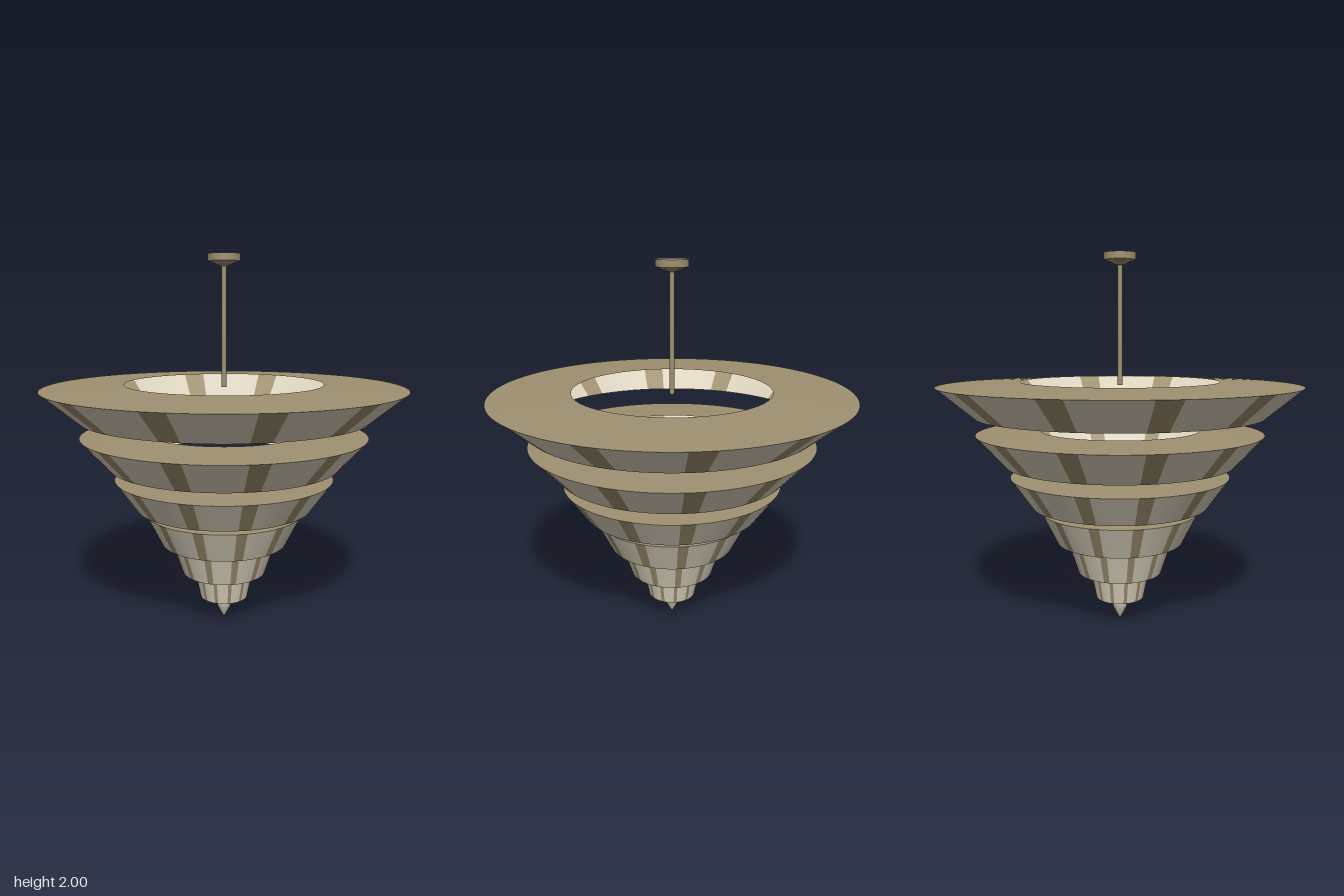
import * as THREE from 'three';
import { mergeGeometries } from 'three/addons/utils/BufferGeometryUtils.js';

const bronze = new THREE.MeshStandardMaterial({ color: 0x9f9070, side: THREE.DoubleSide });
bronze.name = 'bronze';
const glass = new THREE.MeshStandardMaterial({ color: 0xd9d1bc, side: THREE.DoubleSide });
glass.name = 'frosted glass';

// Tiers: top radius, top y, bottom radius, bottom y, cap hole radius, cap hole y
const TIERS = [
  [0.965, 1.31, 0.775, 1.15, 0.53, 1.33],
  [0.77, 1.055, 0.62, 0.89, 0.43, 1.07],
  [0.593, 0.82, 0.48, 0.66, 0.33, 0.835],
  [0.43, 0.625, 0.345, 0.455, 0.24, 0.64],
  [0.285, 0.445, 0.23, 0.28, 0.16, 0.455],
  [0.163, 0.285, 0.132, 0.13, 0.09, 0.292],
];
const PANELS = 12;
const STEP = (Math.PI * 2) / PANELS;
const RIB = STEP / 4;

function add(parent, name, geometry, material) {
  const mesh = new THREE.Mesh(geometry, material);
  mesh.name = name;
  parent.add(mesh);
  return mesh;
}

// The same arc of a conical wall, repeated around the axis
function wallArcs([rTop, yTop, rBottom, yBottom], offset, angle, segments) {
  const arcs = [];
  for (let i = 0; i < PANELS; i++) {
    const arc = new THREE.CylinderGeometry(
      rTop, rBottom, yTop - yBottom, segments, 1, true, i * STEP + offset, angle);
    arcs.push(arc.translate(0, (yTop + yBottom) / 2, 0));
  }
  return mergeGeometries(arcs);
}

const lathe = (points, segments) =>
  new THREE.LatheGeometry(points.map(([r, y]) => new THREE.Vector2(r, y)), segments);

function createTier(tier, index) {
  const group = new THREE.Group();
  group.name = `tier${index + 1}`;
  const [rTop, yTop, , , rHole, yHole] = tier;
  add(group, 'ribs', wallArcs(tier, 0, RIB, 2), bronze);
  add(group, 'glassPanels', wallArcs(tier, RIB, STEP - RIB, 6), glass);
  // Gently sloping ring on top
  add(group, 'topRing', lathe([[rTop, yTop], [rHole, yHole]], 96), bronze);
  return group;
}

export function createModel() {
  const model = new THREE.Group();
  model.name = 'tieredPendantLamp';

  // Ceiling mount: flat disc with a shallow cone below
  add(model, 'canopy', new THREE.CylinderGeometry(0.085, 0.085, 0.037, 48).translate(0, 1.9815, 0), bronze);
  add(model, 'canopyCone', new THREE.CylinderGeometry(0.085, 0.02, 0.026, 48).translate(0, 1.95, 0), bronze);
  add(model, 'rod', new THREE.CylinderGeometry(0.013, 0.013, 0.64, 16).translate(0, 1.63, 0), bronze);

  TIERS.forEach((tier, i) => model.add(createTier(tier, i)));

  // Closed floor of the lowest tier and its pointed finial
  add(model, 'bottomDisc', new THREE.CircleGeometry(0.132, 48).rotateX(Math.PI / 2).translate(0, 0.13, 0), glass);
  add(model, 'finial', lathe([[0, 0], [0.018, 0.03], [0.036, 0.065], [0.045, 0.095], [0.05, 0.13]], 32), glass);

  return model;
}
